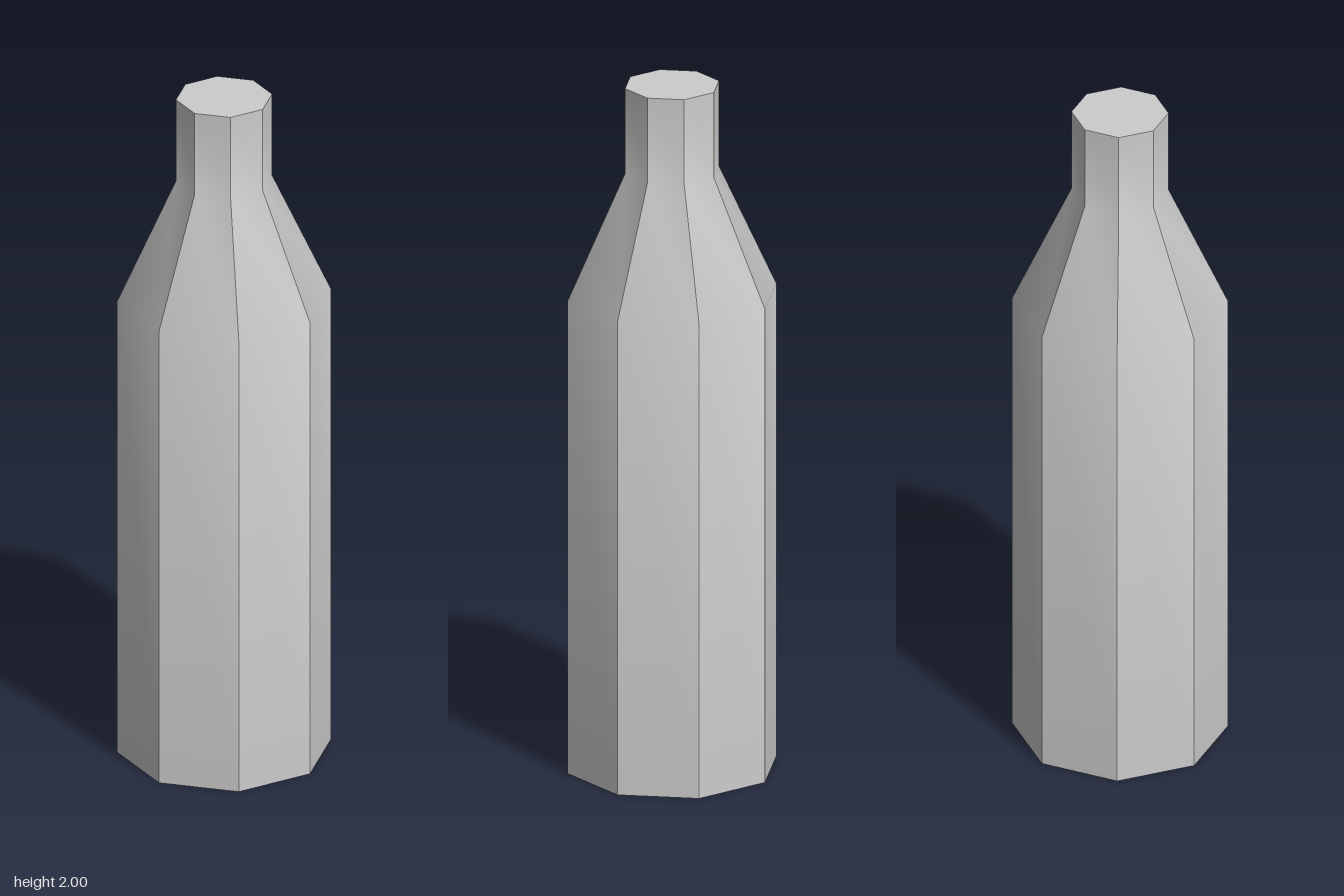
import * as THREE from 'three';
import { toCreasedNormals } from 'three/addons/utils/BufferGeometryUtils.js';

export function createModel() {
  const model = new THREE.Group();
  model.name = 'bottle';

  // Closed profile: base, straight body, sloped shoulder, neck, flat top
  const profile = [
    [0, 0], [0.3, 0], [0.3, 1.39], [0.135, 1.75], [0.135, 2], [0, 2],
  ].map(([r, y]) => new THREE.Vector2(r, y));

  // Eight sides: hard edges between sides, soft bend at shoulder and neck
  const geometry = toCreasedNormals(new THREE.LatheGeometry(profile, 8), Math.PI / 6);
  const body = new THREE.Mesh(geometry, new THREE.MeshStandardMaterial({ color: 0xcccccc }));
  body.name = 'bottleBody';
  model.add(body);

  return model;
}
